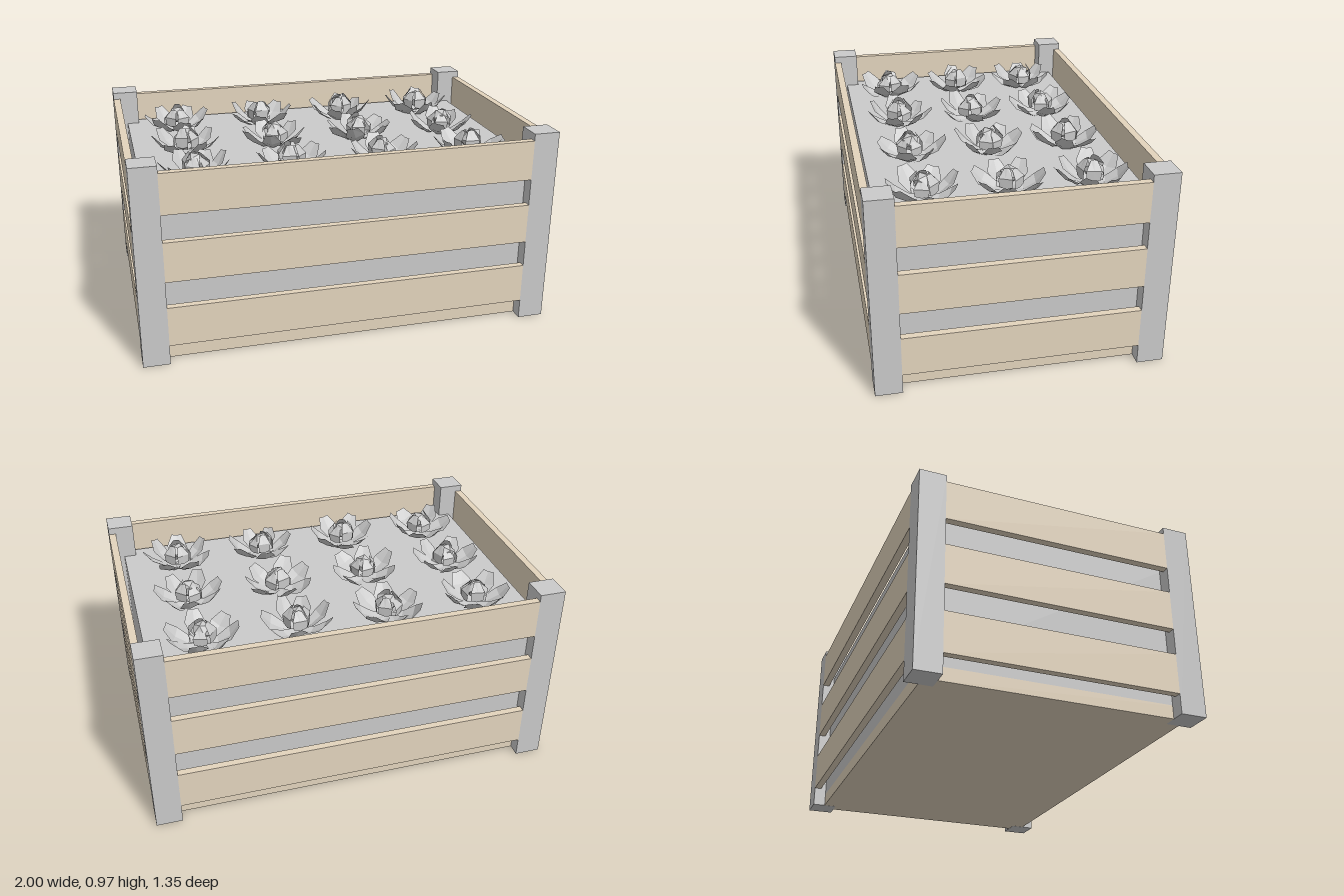
import * as THREE from 'three';
import { mergeGeometries } from 'three/addons/utils/BufferGeometryUtils.js';

// Outline rows of a petal: distance out, height, half width, depth of the cup
const OUTER = [[0.01, 0, 0.018, 0], [0.07, 0.012, 0.036, 0.01], [0.128, 0.045, 0.051, 0.012], [0.17, 0.09, 0.026, 0.004]];
const INNER = [[0.01, 0.01, 0.012, 0], [0.058, 0.035, 0.032, 0.008], [0.06, 0.075, 0.036, 0], [0.03, 0.112, 0.016, -0.004]];

function petalGeometry(rows) {
  const g = new THREE.PlaneGeometry(1, 1, 2, rows.length - 1);
  const p = g.attributes.position;
  rows.forEach(([out, y, half, cup], r) => {
    for (let c = 0; c < 3; c++) {
      const side = c - 1;
      p.setXYZ(r * 3 + c, side * half, y - (side ? 0 : cup), out);
    }
  });
  return g;
}

// Ring of petals with an uneven twist, size and spacing
function ring(rows, count, turn, twist, random) {
  return Array.from({ length: count }, (_, i) => {
    const s = 0.92 + random() * 0.1;
    return petalGeometry(rows)
      .scale(s, 0.85 + random() * 0.3, s)
      .rotateZ((random() - 0.5) * twist)
      .rotateY(turn + (i / count) * Math.PI * 2 + (random() - 0.5) * 0.25);
  });
}

export function createModel() {
  const model = new THREE.Group();
  model.name = 'planterCrate';
  const wood = new THREE.MeshStandardMaterial({ color: 0xe3d4bd });
  wood.name = 'tan wood';
  const gray = new THREE.MeshStandardMaterial({ color: 0xcacaca, flatShading: true, side: THREE.DoubleSide });
  gray.name = 'gray';

  let seed = 7;
  const random = () => (seed = (seed * 16807) % 2147483647) / 2147483647;

  const box = (name, mat, w, h, d, x, y, z) => {
    const m = new THREE.Mesh(new THREE.BoxGeometry(w, h, d), mat);
    m.name = name;
    m.position.set(x, y, z);
    model.add(m);
  };

  // Corner posts
  for (const x of [-1, 1]) for (const z of [-1, 1]) {
    box('cornerPost', gray, 0.126, 0.97, 0.126, x * 0.937, 0.485, z * 0.612);
  }

  // Three slats on each side
  for (const y of [0.193, 0.515, 0.839]) for (const s of [-1, 1]) {
    box('longSlat', wood, 1.75, 0.194, 0.035, 0, y, s * 0.6575);
    box('endSlat', wood, 0.035, 0.194, 1.1, s * 0.9825, y, 0);
  }

  // Floor board and soil block
  box('floor', wood, 1.87, 0.065, 1.226, 0, 0.033, 0);
  box('soil', gray, 1.87, 0.73, 1.226, 0, 0.4305, 0);

  // Rosette plants in a four by three grid
  for (let i = 0; i < 4; i++) for (let j = 0; j < 3; j++) {
    const turn = random() * Math.PI * 2;
    const petals = new THREE.Mesh(mergeGeometries([
      ...ring(OUTER, 7, turn, 0.6, random),
      ...ring(INNER, 5, turn + 0.4, 0.1, random),
    ]), gray);
    petals.name = 'petals';
    const bud = new THREE.Mesh(new THREE.IcosahedronGeometry(0.046, 0), gray);
    bud.name = 'bud';
    bud.position.y = 0.078;
    bud.rotation.y = turn;
    const plant = new THREE.Group();
    plant.name = 'plant';
    plant.position.set(-0.68 + i * 0.45, 0.796, (j - 1) * 0.385);
    plant.add(petals, bud);
    model.add(plant);
  }
  return model;
}
